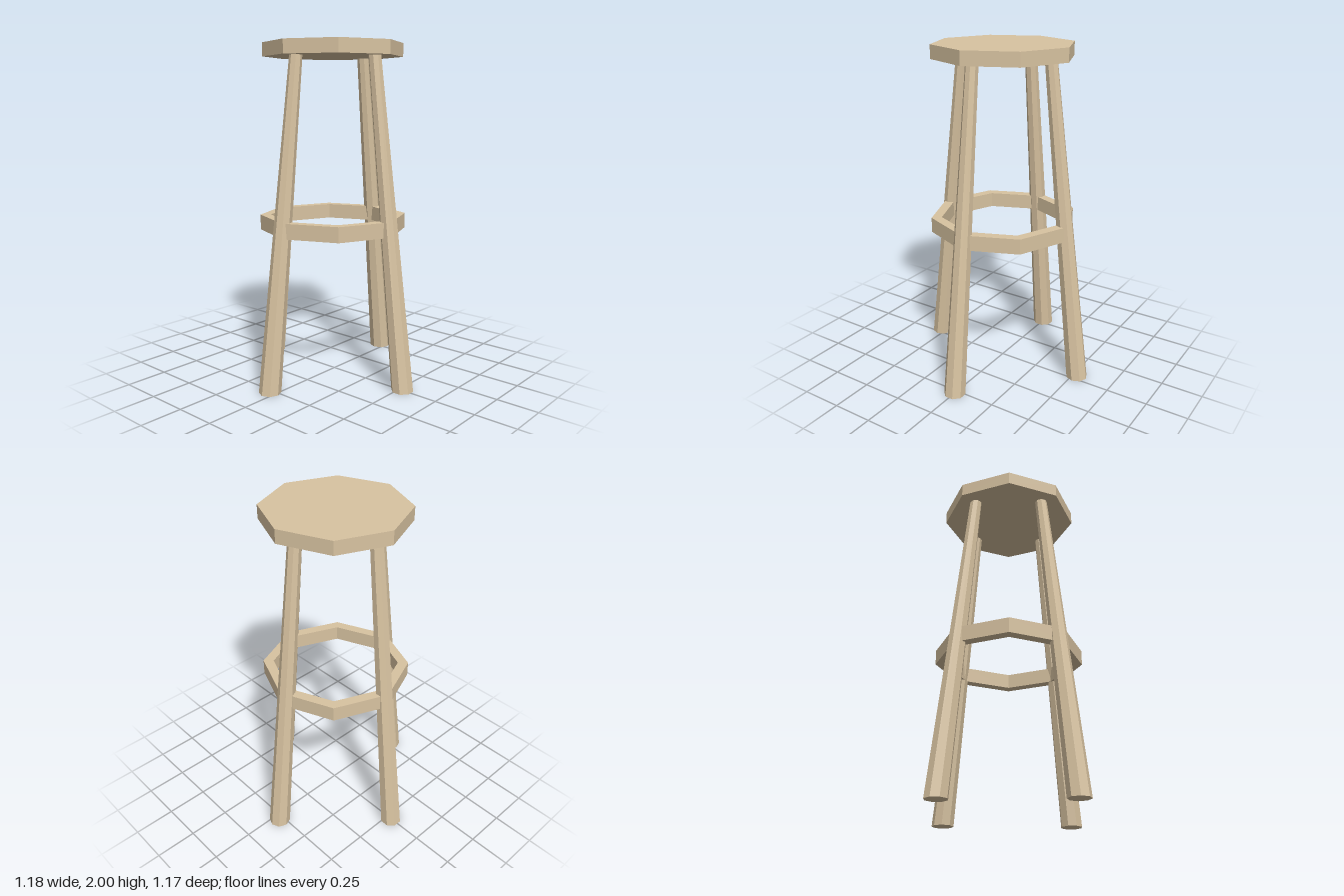
import * as THREE from 'three';

export function createModel() {
  const group = new THREE.Group();
  const wood = new THREE.MeshStandardMaterial({ color: 0xd8c3a1, flatShading: true });
  wood.name = 'pale wood';
  const centreZ = -0.01;

  function add(name, geometry) {
    const mesh = new THREE.Mesh(geometry, wood);
    mesh.name = name;
    group.add(mesh);
    return mesh;
  }

  // Closed octagonal outline with a corner on each axis
  function octagon(radius, Kind = THREE.Shape) {
    const points = [];
    for (let i = 0; i < 8; i++) {
      const a = (i * Math.PI) / 4;
      points.push(new THREE.Vector2(Math.cos(a) * radius, Math.sin(a) * radius));
    }
    return new Kind(points);
  }

  // Seat
  add('seat', new THREE.CylinderGeometry(0.415, 0.415, 0.08, 8))
    .position.set(0, 1.96, centreZ);

  // Footrest ring
  const ring = octagon(0.44);
  ring.holes.push(octagon(0.378, THREE.Path));
  const ringGeometry = new THREE.ExtrudeGeometry(ring, { depth: 0.09, bevelEnabled: false });
  ringGeometry.rotateX(-Math.PI / 2);
  add('footrestRing', ringGeometry).position.set(0, 0.895, centreZ);

  // Tapered legs, leaning inwards with level ends
  function addLeg(name, bottom, top, turn) {
    const height = 1.925;
    const geometry = new THREE.CylinderGeometry(0.037, 0.065, height, 8);
    geometry.rotateY(turn).translate(0, height / 2, 0);
    const p = geometry.attributes.position;
    for (let i = 0; i < p.count; i++) {
      const t = p.getY(i) / height;
      p.setX(i, p.getX(i) + THREE.MathUtils.lerp(bottom[0], top[0], t));
      p.setZ(i, p.getZ(i) + THREE.MathUtils.lerp(bottom[1], top[1], t));
    }
    geometry.computeVertexNormals();
    add(name, geometry);
  }
  addLeg('frontLeg', [0, 0.523], [0, 0.298], Math.PI / 8);
  addLeg('backLeg', [0, -0.527], [0, -0.307], Math.PI / 8);
  addLeg('leftLeg', [0.524, -0.038], [0.3, -0.024], 0);
  addLeg('rightLeg', [-0.524, -0.038], [-0.3, -0.024], 0);

  return group;
}
